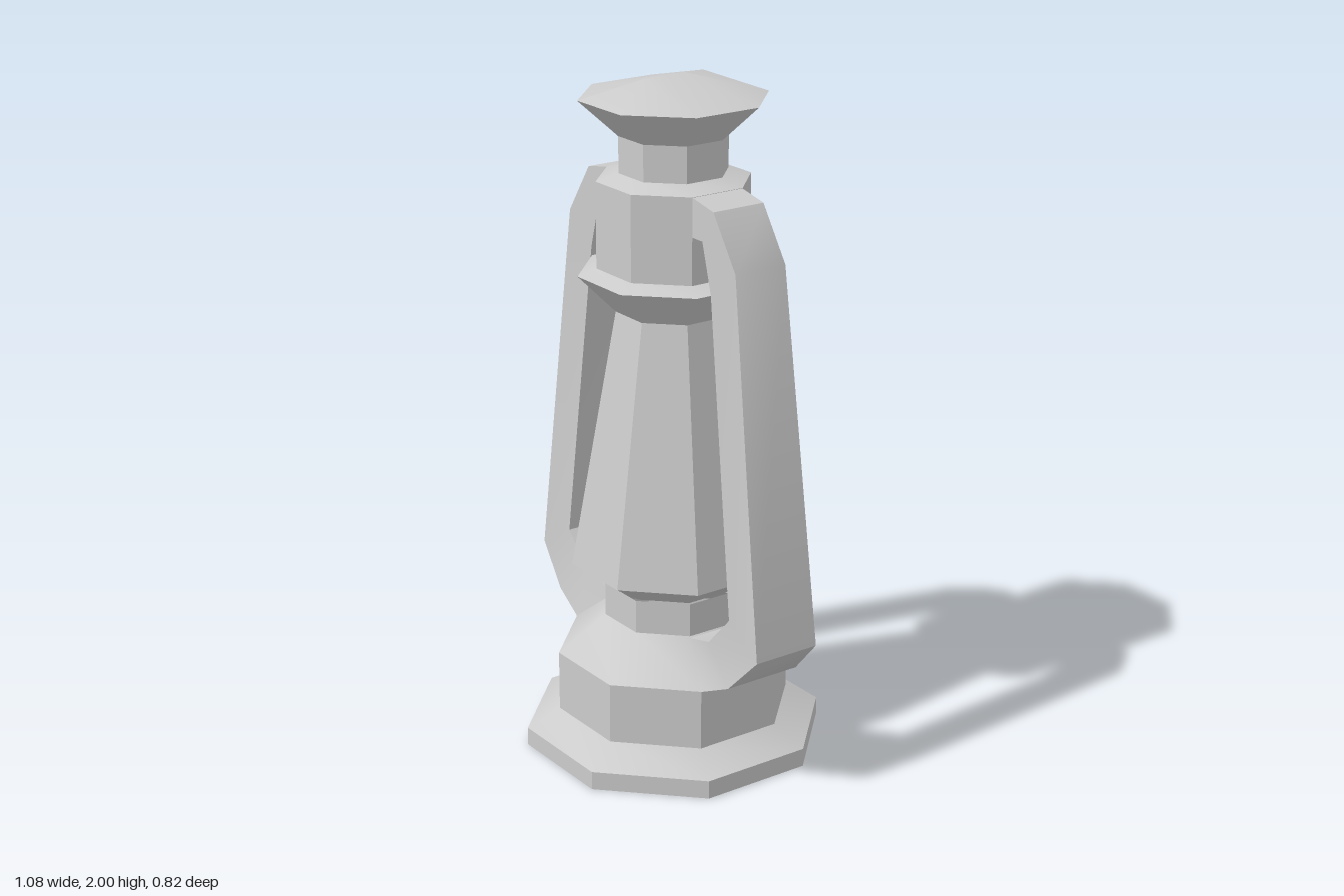
import * as THREE from 'three';
import { toCreasedNormals } from 'three/addons/utils/BufferGeometryUtils.js';

const CREASE = Math.PI / 6;
const material = new THREE.MeshStandardMaterial({ color: 0xcccccc, side: THREE.DoubleSide });

function addMesh(group, name, geometry) {
  const mesh = new THREE.Mesh(toCreasedNormals(geometry, CREASE), material);
  mesh.name = name;
  group.add(mesh);
}

// Octagonal turned part; profile is [half width across flats, height], bottom to top.
function octagon(profile) {
  const points = profile.map(([r, y]) => new THREE.Vector2(r / Math.cos(Math.PI / 8), y));
  return new THREE.LatheGeometry(points, 8, Math.PI / 8);
}

// Bent flat bar: each station is [outer x, outer y, inner x, inner y, outer half depth, inner half depth].
function bar(stations) {
  const positions = [], index = [];
  stations.forEach(([ox, oy, ix, iy, od, id], s) => {
    positions.push(ox, oy, od, ox, oy, -od, ix, iy, -id, ix, iy, id);
    if (s === 0) return;
    for (let k = 0; k < 4; k++) {
      const a = (s - 1) * 4 + k, b = (s - 1) * 4 + (k + 1) % 4;
      index.push(a, b, b + 4, a, b + 4, a + 4);
    }
  });
  const geometry = new THREE.BufferGeometry();
  geometry.setAttribute('position', new THREE.Float32BufferAttribute(positions, 3));
  geometry.setIndex(index);
  return geometry;
}

export function createModel() {
  const lantern = new THREE.Group();
  lantern.name = 'lantern';

  // Body, from the ground up
  const parts = {
    foot: [[0, 0], [0.41, 0], [0.41, 0.055], [0.32, 0.11]],
    fuelTank: [[0.32, 0.11], [0.32, 0.29], [0.19, 0.4]],
    burnerNeck: [[0.19, 0.4], [0.19, 0.5]],
    chimney: [[0.18, 0.5], [0.28, 0.57], [0.155, 1.33]],
    collar: [[0.155, 1.33], [0.255, 1.44], [0.2, 1.46]],
    hood: [[0.205, 1.46], [0.205, 1.71], [0.145, 1.73]],
    ventNeck: [[0.145, 1.73], [0.145, 1.835]],
  };
  for (const [name, profile] of Object.entries(parts)) addMesh(lantern, name, octagon(profile));

  // Cap, with its top ring pinched into a short ridge along z
  const cap = octagon([[0.145, 1.835], [0.25, 1.94], [0.1, 2]]);
  const p = cap.attributes.position;
  for (let i = 0; i < p.count; i++) if (p.getY(i) > 1.99) p.setX(i, 0);
  addMesh(lantern, 'cap', cap);

  // Side handles from the tank shoulder up to the hood
  const stations = [
    [0.32, 0.29, 0.19, 0.395, 0.133, 0.08],
    [0.43, 0.34, 0.31, 0.434, 0.12, 0.1],
    [0.54, 0.455, 0.405, 0.535, 0.104, 0.1],
    [0.4, 1.54, 0.29, 1.455, 0.084, 0.084],
    [0.3, 1.69, 0.25, 1.597, 0.084, 0.084],
    [0.2, 1.71, 0.2, 1.597, 0.084, 0.084],
  ];
  for (const [name, angle] of [['leftHandle', 0], ['rightHandle', Math.PI]]) {
    addMesh(lantern, name, bar(stations).rotateY(angle));
  }

  return lantern;
}
